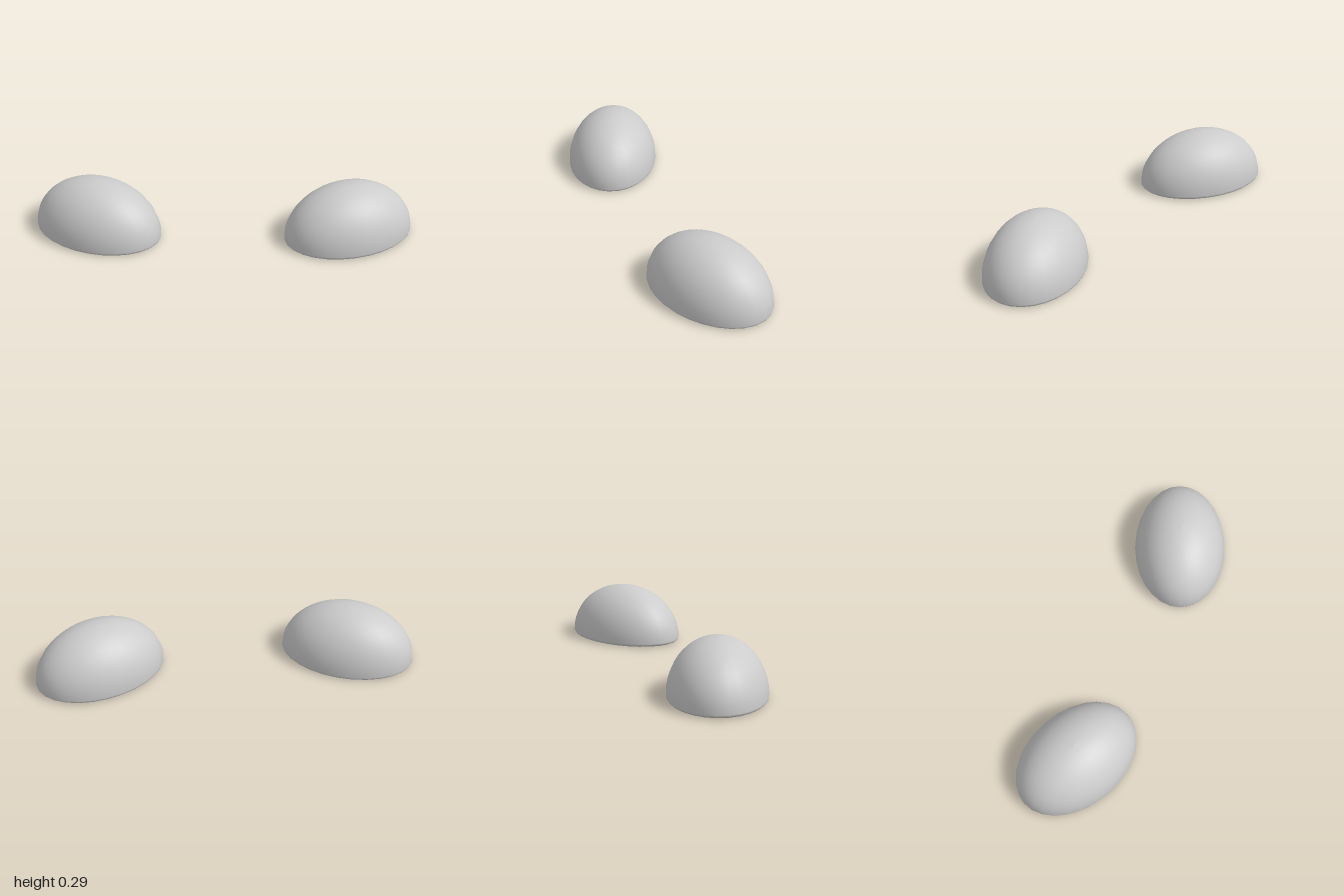
import * as THREE from 'three';

const HEIGHT = 0.295, RIM = 0.018;

// Unit-radius dome profile: flat base, small rounded rim, quarter-ellipse top
function domeProfile() {
  const points = [[0, 0], [0.9, 0], [0.945, 0.001], [0.975, 0.004], [0.995, 0.01]];
  const steps = 12;
  for (let i = 0; i <= steps; i++) {
    const a = (i / steps) * Math.PI / 2;
    points.push([i === steps ? 0 : Math.cos(a), RIM + (HEIGHT - RIM) * Math.sin(a)]);
  }
  return points.map(([x, y]) => new THREE.Vector2(x, y));
}

export function createModel() {
  const model = new THREE.Group();
  model.name = 'domePair';
  const material = new THREE.MeshStandardMaterial({ color: 0xcccccc });

  // Oval footprint shared by both domes
  const geometry = new THREE.LatheGeometry(domeProfile(), 28);
  geometry.scale(0.354, 1, 0.247);

  // Mirrored pair, inner ends turned toward the front
  for (const side of [-1, 1]) {
    const dome = new THREE.Mesh(geometry, material);
    dome.name = side > 0 ? 'leftDome' : 'rightDome';
    dome.position.x = side * 0.662;
    dome.rotation.y = side * 0.42;
    model.add(dome);
  }
  return model;
}
